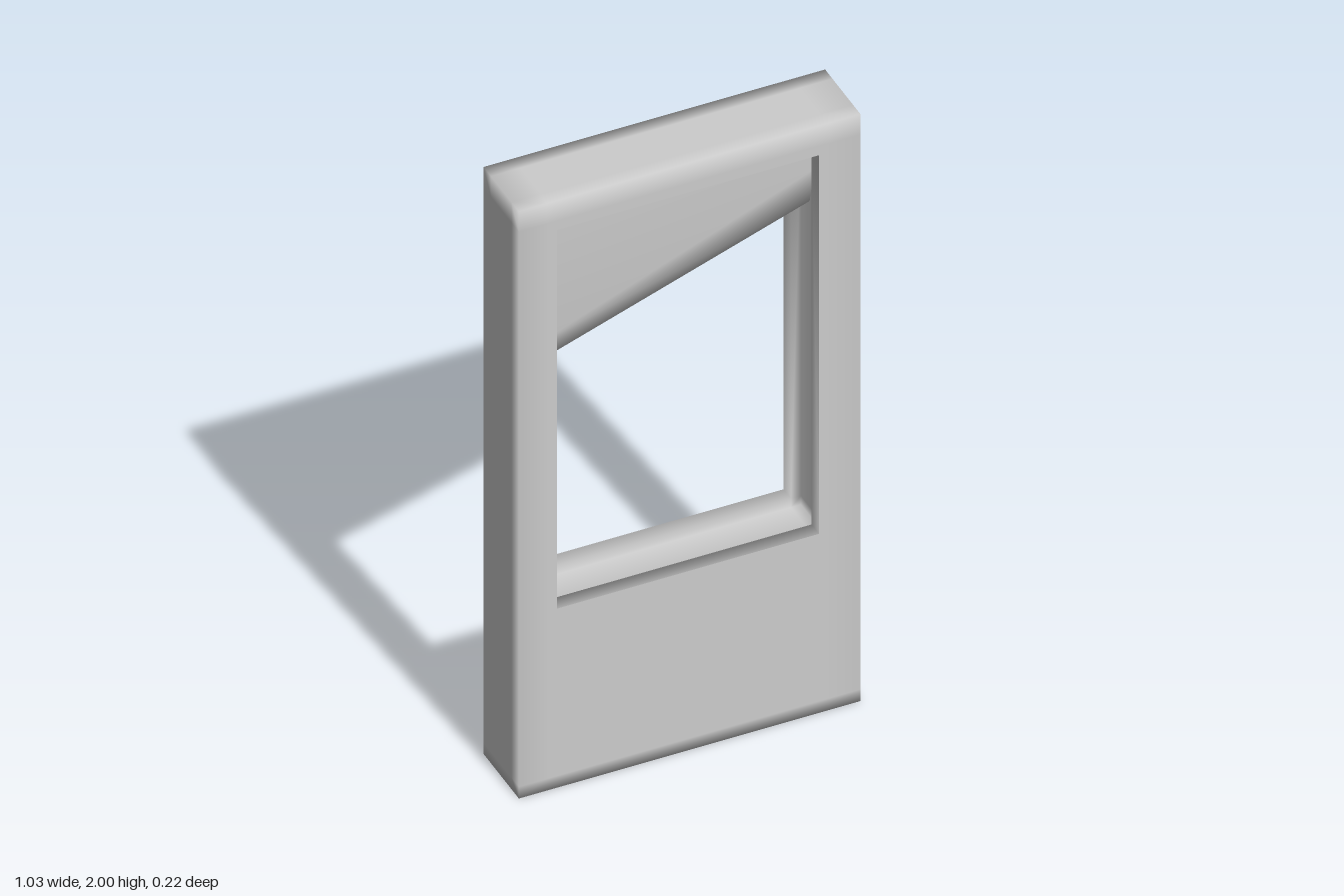
import * as THREE from 'three';
import { mergeVertices } from 'three/addons/utils/BufferGeometryUtils.js';

const material = new THREE.MeshStandardMaterial({ color: 0xcccccc });

// Smooth-shaded mesh from a list of quads, each four counter-clockwise corners
function quadMesh(name, quads) {
  const positions = [];
  for (const [a, b, c, d] of quads) positions.push(...a, ...b, ...c, ...a, ...c, ...d);
  let geometry = new THREE.BufferGeometry();
  geometry.setAttribute('position', new THREE.Float32BufferAttribute(positions, 3));
  geometry = mergeVertices(geometry);
  geometry.computeVertexNormals();
  const mesh = new THREE.Mesh(geometry, material);
  mesh.name = name;
  return mesh;
}

// Upright frame: a grid of solid cells with a window and a blade groove left empty
function createFrame() {
  const grid = [
    [-0.515, -0.43, -0.4, 0.39, 0.42, 0.515],
    [0, 0.04, 0.58, 0.61, 1.9, 1.93, 2],
    [-0.112, -0.065, 0.065, 0.112],
  ];
  const inGrid = (c) => c.every((i, a) => i >= 0 && i < grid[a].length - 1);
  const solid = (c) => {
    const [i, j, k] = c;
    if (!inGrid(c)) return false;
    const opening = i === 2 && j === 3;
    const groove = k === 1 && i >= 1 && i <= 3 && j >= 2 && j <= 4;
    return !opening && !groove;
  };

  const outer = [];
  const inner = [];
  for (let i = 0; i < 5; i++) for (let j = 0; j < 6; j++) for (let k = 0; k < 3; k++) {
    const cell = [i, j, k];
    if (!solid(cell)) continue;
    for (let axis = 0; axis < 3; axis++) for (const dir of [-1, 1]) {
      const next = [...cell];
      next[axis] += dir;
      if (solid(next)) continue;
      const u = (axis + 1) % 3, v = (axis + 2) % 3;
      const quad = [[0, 0], [1, 0], [1, 1], [0, 1]].map(([du, dv]) => {
        const p = [];
        p[axis] = grid[axis][cell[axis] + (dir > 0 ? 1 : 0)];
        p[u] = grid[u][cell[u] + du];
        p[v] = grid[v][cell[v] + dv];
        return p;
      });
      if (dir < 0) quad.reverse();
      (inGrid(next) ? inner : outer).push(quad);
    }
  }

  const frame = new THREE.Group();
  frame.name = 'frame';
  frame.add(quadMesh('frameOuterShell', outer), quadMesh('openingAndGroove', inner));
  return frame;
}

// Slanted blade: a five-point section swept across the groove, wedge edge at the bottom
function createBlade() {
  const half = 0.03;
  const top = 1.92;
  const section = (x, tip, bevel) => [
    [x, top, half], [x, tip + bevel, half], [x, tip, 0],
    [x, tip + bevel, -half], [x, top, -half],
  ];
  const a = section(-0.425, 1.37, 0.09);
  const b = section(0.415, 1.66, 0.13);
  const quads = [];
  for (let i = 0; i < 4; i++) quads.push([a[i], a[i + 1], b[i + 1], b[i]]);
  const blade = new THREE.Group();
  blade.name = 'blade';
  blade.add(quadMesh('bladeFaces', quads));

  // Ends and top, kept sharp against the faces
  const ends = [
    [a[0], a[4], a[3], a[1]], [a[1], a[3], a[2], a[2]],
    [b[0], b[1], b[3], b[4]], [b[1], b[2], b[3], b[3]],
    [a[0], b[0], b[4], a[4]],
  ];
  ends.forEach((quad, i) => blade.add(quadMesh(i < 4 ? 'bladeEnd' : 'bladeTop', [quad])));
  return blade;
}

export function createModel() {
  const model = new THREE.Group();
  model.name = 'bladeFrame';
  model.add(createFrame(), createBlade());
  return model;
}
